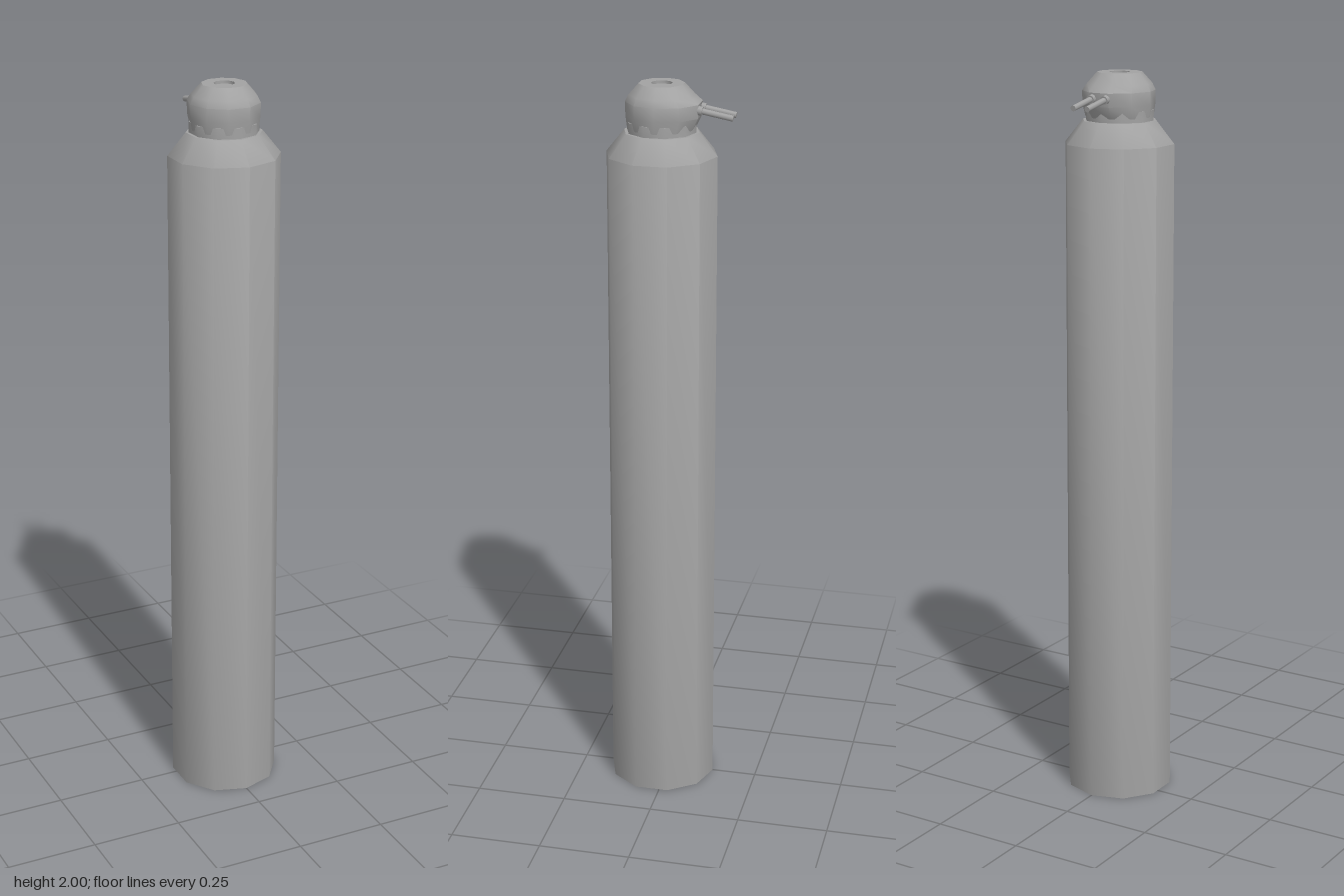
import * as THREE from 'three';
import { toCreasedNormals } from 'three/addons/utils/BufferGeometryUtils.js';

const SIDES = 10;
const AXIS_Z = 0.022; // the canister axis sits slightly forward

export function createModel() {
  const group = new THREE.Group();
  const material = new THREE.MeshStandardMaterial({ color: 0xa3a3a3 });
  const shellMaterial = new THREE.MeshStandardMaterial({ color: 0xa3a3a3, side: THREE.DoubleSide });

  const add = (name, geometry, mat = material) => {
    const mesh = new THREE.Mesh(geometry, mat);
    mesh.name = name;
    group.add(mesh);
    return mesh;
  };

  // Ten-sided turned part from [radius, height] pairs
  const turned = (profile, phi = 0) =>
    new THREE.LatheGeometry(profile.map(([r, y]) => new THREE.Vector2(r, y)), SIDES, phi);

  // Long canister, open at the base, flowing smoothly into a sloping shoulder
  const body = turned([[0.148, 0], [0.148, 1.815], [0.1, 1.875], [0, 1.875]]);
  add('body', toCreasedNormals(body, 0.75), shellMaterial).position.z = AXIS_Z;

  // Neck collar, its corners poking through the foot of the cap
  const neck = turned([[0.092, 1.87], [0.092, 1.903], [0, 1.903]]);
  add('neck', toCreasedNormals(neck, 0.75)).position.z = AXIS_Z;

  // Rounded cap with a shallow recess on top, swelling at the back
  const cap = turned([
    [0.09, 1.885], [0.094, 1.917], [0.095, 1.953], [0.086, 1.971],
    [0.06, 2], [0.028, 2], [0.028, 1.992], [0, 1.992],
  ], Math.PI / 10);
  const p = cap.attributes.position;
  for (let i = 0; i < p.count; i++) {
    const y = p.getY(i);
    if (p.getZ(i) < -0.04 && y > 1.91 && y < 1.96) p.setZ(i, p.getZ(i) * 1.13);
  }
  add('cap', toCreasedNormals(cap, 0.75)).position.z = AXIS_Z;

  // Pair of wires leaving the back of the cap through short sleeves
  const start = new THREE.Vector3(0, 1.943, -0.05);
  const end = new THREE.Vector3(0, 1.921, -0.17);
  const direction = end.clone().sub(start).normalize();
  const rod = (name, x, radius, from, to) => {
    const a = start.clone().lerp(end, from);
    const b = start.clone().lerp(end, to);
    const mesh = add(name, new THREE.CylinderGeometry(radius, radius, a.distanceTo(b), 8));
    mesh.position.copy(a).add(b).multiplyScalar(0.5).setX(x);
    mesh.quaternion.setFromUnitVectors(new THREE.Vector3(0, 1, 0), direction);
  };
  for (const [side, x] of [['left', 0.021], ['right', -0.021]]) {
    rod(side + 'Wire', x, 0.008, 0, 1);
    rod(side + 'Sleeve', x, 0.012, 0, 0.33);
  }

  return group;
}
